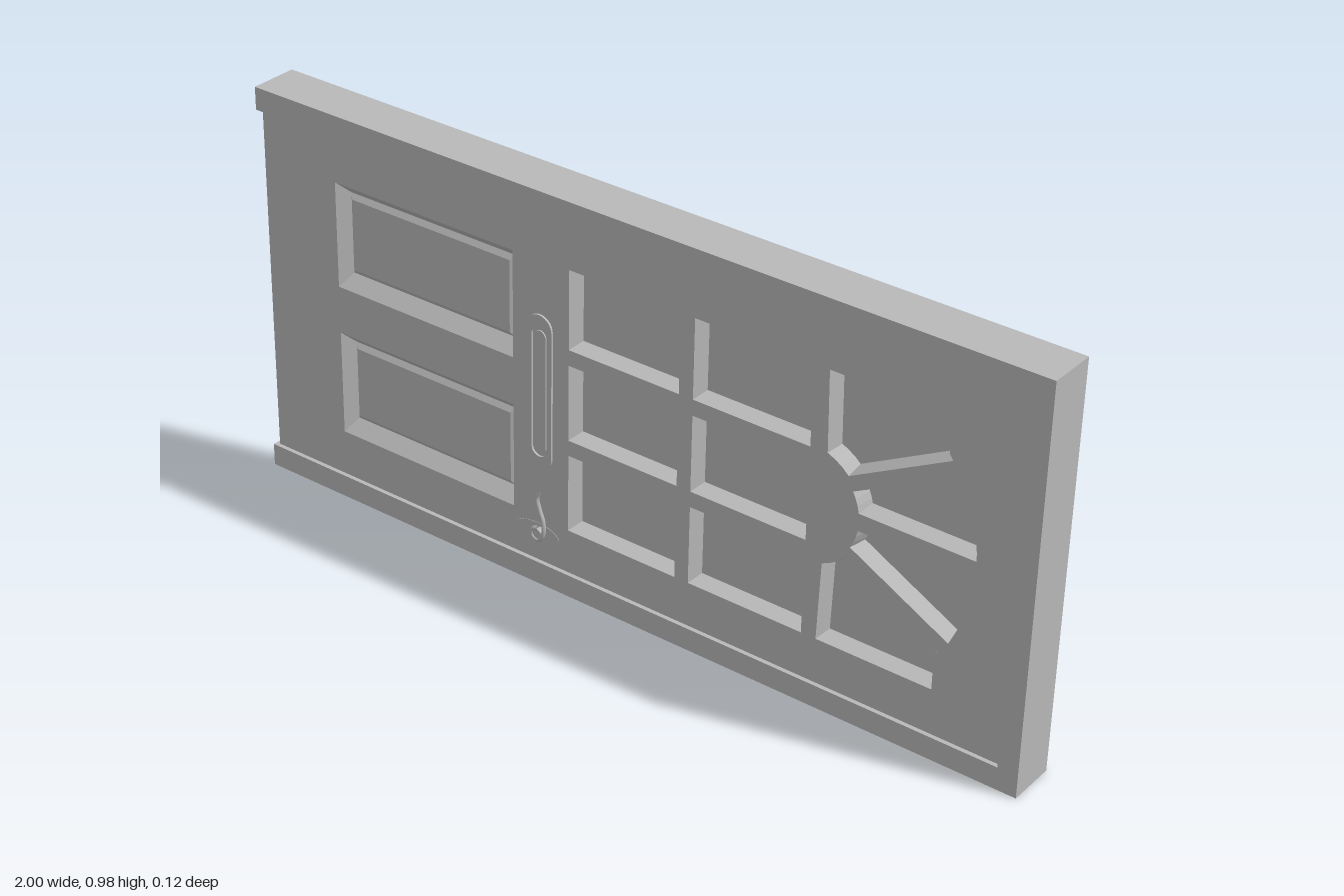
import * as THREE from 'three';

const FRONT = 0.05, BACK = -0.033, MID = 0.0085;

// Moves a counter-clockwise outline inwards by separate x and y amounts
function inset(pts, ix, iy) {
  return pts.map((p, i) => {
    const a = pts[(i + pts.length - 1) % pts.length], b = pts[(i + 1) % pts.length];
    const d1 = p.clone().sub(a).normalize(), d2 = b.clone().sub(p).normalize();
    const n1 = new THREE.Vector2(-d1.y, d1.x), n2 = new THREE.Vector2(-d2.y, d2.x);
    const m = n1.clone().add(n2).divideScalar(1 + n1.dot(n2));
    return new THREE.Vector2(p.x + m.x * ix, p.y + m.y * iy);
  });
}

// Sloped walls through [insetX, insetY, z] steps; flip turns the faces round
function walls(pts, steps, flip) {
  const rings = steps.map(([ix, iy, z]) => inset(pts, ix, iy).map(p => [p.x, p.y, z]));
  const pos = [], n = pts.length;
  for (let k = 0; k + 1 < rings.length; k++) {
    for (let i = 0; i < n; i++) {
      const j = (i + 1) % n;
      const a = rings[k][i], b = rings[k][j], c = rings[k + 1][j], d = rings[k + 1][i];
      const tris = flip ? [a, c, b, a, d, c] : [a, b, c, a, c, d];
      tris.forEach(v => pos.push(...v));
    }
  }
  const g = new THREE.BufferGeometry();
  g.setAttribute('position', new THREE.Float32BufferAttribute(pos, 3));
  g.computeVertexNormals();
  return g;
}

// Flat face at height z, facing +z, or -z when flipped
function face(pts, holes, z, flip) {
  const s = new THREE.Shape(pts);
  s.holes = holes.map(h => new THREE.Path(h));
  const g = new THREE.ShapeGeometry(s).translate(0, 0, z);
  if (flip) {
    g.setIndex(Array.from(g.index.array).reverse());
    g.computeVertexNormals();
  }
  return g;
}

const V = (x, y) => new THREE.Vector2(x, y);
const rect = (x0, y0, x1, y1) => [V(x0, y0), V(x1, y0), V(x1, y1), V(x0, y1)];
const mirrorY = pts => pts.map(p => V(p.x, -p.y)).reverse();

// Points on a circle about the fan centre
function arc(r, a0, a1, n) {
  return Array.from({ length: n + 1 }, (_, i) => {
    const a = a0 + (a1 - a0) * i / n;
    return V(0.456 + r * Math.cos(a), r * Math.sin(a));
  });
}

// Rounded bar outline for the slot
function stadium(w, h, Type = THREE.Shape) {
  const s = new Type(), r = w / 2, c = h / 2 - r;
  s.absarc(0, c, r, 0, Math.PI, false);
  s.absarc(0, -c, r, Math.PI, Math.PI * 2, false);
  s.closePath();
  return s;
}

export function createModel() {
  const model = new THREE.Group();
  model.name = 'door';
  const body = new THREE.Group();
  body.name = 'doorAssembly';
  body.rotation.z = -0.0183;
  body.position.set(-0.0025, 0.4905, 0);
  model.add(body);

  const grey = new THREE.MeshStandardMaterial({ color: 0xb8b8b8 });
  grey.name = 'paintedGrey';
  const add = (name, geo) => {
    const m = new THREE.Mesh(geo, grey);
    m.name = name;
    body.add(m);
    return m;
  };

  // Three-sided frame
  const frame = new THREE.Shape([
    V(-0.99, -0.4725), V(0.99, -0.4725), V(0.99, 0.4725), V(-0.99, 0.4725),
    V(-0.99, 0.419), V(0.943, 0.419), V(0.943, -0.419), V(-0.99, -0.419)]);
  add('frame', new THREE.ExtrudeGeometry(frame, { depth: 0.115, bevelEnabled: false })
    .translate(0, 0, -0.055));

  // Outlines of panels and windows
  const panels = [rect(-0.777, 0.057, -0.288, 0.309), rect(-0.777, -0.309, -0.288, -0.057)];
  const windows = [];
  for (const [x0, x1] of [[-0.14, 0.142], [0.177, 0.462]])
    for (const [y0, y1] of [[-0.313, -0.127], [-0.09, 0.09], [0.127, 0.313]])
      windows.push(rect(x0, y0, x1, y1));
  const fan = [...arc(0.397, 0.05, 0.5, 8), ...arc(0.128, 0.53, 0.157, 3)];
  const corner = [...arc(0.137, 1.22, 0.77, 3), V(0.784, 0.219), V(0.775, 0.232),
    V(0.775, 0.313), V(0.498, 0.313)];
  windows.push(fan, mirrorY(fan), corner, mirrorY(corner));

  // Door slab faces and edges
  const slab = rect(-0.98, -0.419, 0.943, 0.419);
  const holes = [...panels, ...windows];
  add('slabFront', face(slab, holes, FRONT, false));
  add('slabBack', face(slab, holes, BACK, true));
  add('slabEdge', walls(slab, [[0, 0, BACK], [0, 0, FRONT]], false));

  // Sunken panels and window panes on both sides
  for (const [side, z, s] of [['Front', FRONT, 1], ['Back', BACK, -1]]) {
    const flip = s < 0;
    for (const p of panels) {
      add('panelMoulding' + side, walls(p, [[0, 0, z], [0.019, 0.029, z - s * 0.03],
        [0.027, 0.041, z - s * 0.022]], flip));
      add('panelField' + side, face(inset(p, 0.027, 0.041), [], z - s * 0.022, flip));
    }
    for (const w of windows) {
      const zp = MID + s * 0.003;
      add('windowReveal' + side, walls(w, [[0, 0, z], [0.008, 0.008, zp]], flip));
      add('windowPane' + side, face(inset(w, 0.008, 0.008), [], zp, flip));
    }

    // Curved lever handle on its backplate
    const lever = new THREE.CatmullRomCurve3([
      [-0.212, -0.33], [-0.226, -0.336], [-0.228, -0.352], [-0.212, -0.36], [-0.199, -0.344],
      [-0.198, -0.312], [-0.209, -0.28], [-0.215, -0.255], [-0.208, -0.235]
    ].map(([x, y]) => new THREE.Vector3(x, y, z + s * 0.012)));
    add('lever' + side, new THREE.TubeGeometry(lever, 40, 0.005, 8, false));
    const boss = new THREE.CylinderGeometry(0.011, 0.011, 0.015, 20).rotateX(Math.PI / 2);
    add('leverBoss' + side, boss).position.set(-0.213, -0.344, z + s * 0.0075);
    const plate = new THREE.CylinderGeometry(0.06, 0.06, 0.002, 32).rotateX(Math.PI / 2);
    plate.scale(1, 0.4, 1);
    add('leverPlate' + side, plate).position.set(-0.225, -0.35, z);
  }

  // Mail slot on the front
  const rim = stadium(0.066, 0.37);
  rim.holes.push(stadium(0.04, 0.31, THREE.Path));
  add('mailSlotRim', new THREE.ExtrudeGeometry(rim, { depth: 0.005, bevelEnabled: false }))
    .position.set(-0.215, 0, FRONT);
  add('mailSlotFlap', new THREE.ExtrudeGeometry(stadium(0.032, 0.295),
    { depth: 0.003, bevelEnabled: false })).position.set(-0.215, 0, FRONT);

  return model;
}
